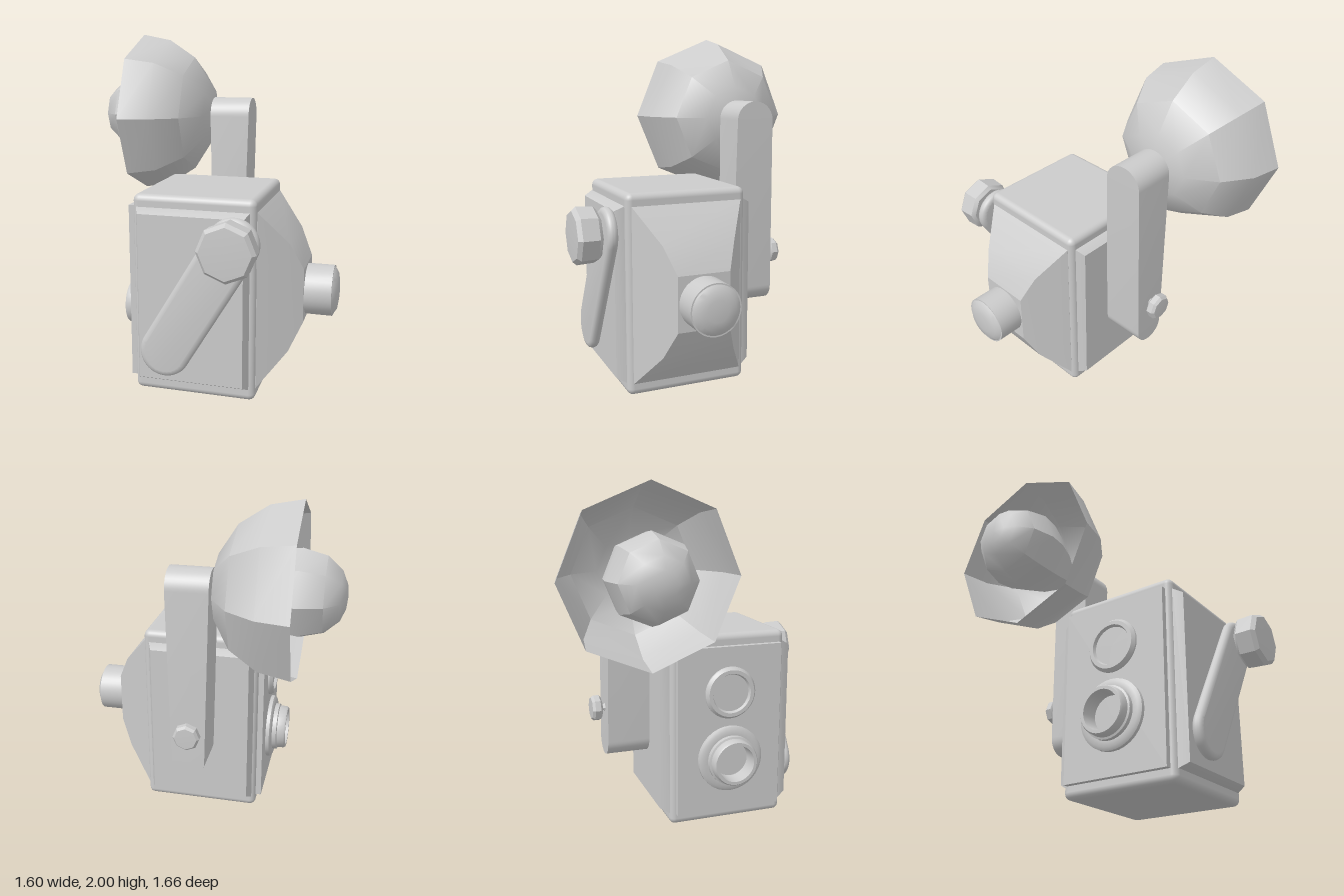
import * as THREE from 'three';
import { toCreasedNormals } from 'three/addons/utils/BufferGeometryUtils.js';
import { RoundedBoxGeometry } from 'three/addons/geometries/RoundedBoxGeometry.js';

const material = new THREE.MeshStandardMaterial({ color: 0xcccccc });
const thinMaterial = new THREE.MeshStandardMaterial({ color: 0xcccccc, side: THREE.DoubleSide });

// Rectangular sections [y, halfX, halfZ] stacked upwards and capped
function loft(sections, crease = 0.5) {
  const pos = [], idx = [];
  for (const [y, hx, hz] of sections) {
    pos.push(-hx, y, hz, hx, y, hz, hx, y, -hz, -hx, y, -hz);
  }
  for (let s = 0; s < sections.length - 1; s++) {
    for (let k = 0; k < 4; k++) {
      const a = s * 4 + k, b = s * 4 + (k + 1) % 4;
      idx.push(a, b, b + 4, a, b + 4, a + 4);
    }
  }
  const t = (sections.length - 1) * 4;
  idx.push(0, 2, 1, 0, 3, 2, t, t + 1, t + 2, t, t + 2, t + 3);
  const g = new THREE.BufferGeometry();
  g.setAttribute('position', new THREE.Float32BufferAttribute(pos, 3));
  g.setIndex(idx);
  return toCreasedNormals(g, crease);
}

// Turned part from [radius, y] pairs listed upwards
function turned(profile, sides, crease = 0.6) {
  const g = new THREE.LatheGeometry(profile.map(([r, y]) => new THREE.Vector2(r, y)), sides);
  return toCreasedNormals(g, crease);
}

// Rotations that point a part's y axis along a world axis
const aim = {
  front: [Math.PI / 2, 0, 0],
  back: [-Math.PI / 2, 0, 0],
  left: [0, 0, -Math.PI / 2],
  right: [0, 0, Math.PI / 2],
  up: [0, 0, 0],
};

export function createModel() {
  const model = new THREE.Group();
  const add = (name, geometry, position, direction = 'up', mat = material) => {
    const mesh = new THREE.Mesh(geometry, mat);
    mesh.name = name;
    mesh.position.set(...position);
    mesh.rotation.set(...aim[direction]);
    model.add(mesh);
    return mesh;
  };

  // Body with raised panels on three sides
  add('body', new RoundedBoxGeometry(0.697, 1.14, 0.71, 3, 0.037), [0.038, 0.57, 0.2]);
  const sidePanel = loft([[-0.02, 0.32, 0.5], [0, 0.32, 0.5], [0.052, 0.296, 0.472]]);
  add('frontPanel', sidePanel, [0.033, 0.57, 0.555], 'front');
  add('backPanel', sidePanel, [0.033, 0.57, -0.155], 'back');
  add('lensPanel', loft([[-0.02, 0.5, 0.322], [0.033, 0.5, 0.322]]), [-0.31, 0.57, 0.2], 'right');

  // Tapered viewing hood and eyepiece
  add('viewingHood', loft([
    [-0.02, 0.5, 0.325], [0, 0.5, 0.325], [0.158, 0.31, 0.21], [0.23, 0.155, 0.152],
  ], 0.4), [0.386, 0.57, 0.2], 'left');
  add('eyepiece', turned([
    [0.145, -0.03], [0.145, 0.153], [0.137, 0.153], [0.13, 0.158], [0.105, 0.174], [0.06, 0.181], [0, 0.183],
  ], 32), [0.614, 0.57, 0.2], 'left');

  // Upper finder ring and hollow lower lens
  add('finderLens', turned([
    [0.155, -0.01], [0.155, 0.01], [0.14, 0.03], [0.118, 0.03], [0.11, 0.012], [0, 0.012],
  ], 32), [-0.343, 0.797, 0.2], 'right');
  add('mainLens', turned([
    [0.198, -0.01], [0.198, 0.022], [0.18, 0.034], [0.148, 0.034], [0.148, 0.06], [0.137, 0.064],
    [0.135, 0.105], [0.128, 0.115], [0.11, 0.115], [0.104, 0.02], [0, 0.02],
  ], 32), [-0.343, 0.397, 0.2], 'right');

  // Crank arm on the front panel
  const slope = Math.atan2(0.64, 0.39), inset = 0.03, r = 0.142 - inset;
  const arm = new THREE.Shape();
  arm.absarc(0.285, 0.92, r, slope - Math.PI / 2, slope + Math.PI / 2);
  arm.absarc(-0.1, 0.282, r, slope + Math.PI / 2, slope + Math.PI * 1.5);
  const armGeometry = new THREE.ExtrudeGeometry(arm, {
    depth: 0.004, bevelThickness: 0.028, bevelSize: inset, bevelSegments: 3, curveSegments: 16,
  });
  add('crankArm', toCreasedNormals(armGeometry, 0.6), [0, 0, 0.633]);

  // Eight-sided crank knob on a pointed neck
  add('crankKnob', turned([
    [0.01, -0.01], [0.015, 0], [0.04, 0.025], [0.135, 0.025], [0.155, 0.045], [0.16, 0.14], [0.14, 0.163], [0, 0.17],
  ], 8), [0.285, 0.915, 0.665], 'front');

  // Flash bracket: the top rounds in depth, the bottom rounds in width
  const sections = [], steps = 10;
  for (let i = 0; i <= steps; i++) {
    const a = (i / steps) * Math.PI / 2;
    sections.push([0.467 - 0.097 * Math.cos(a), 0.002 + 0.095 * Math.sin(a), 0.132]);
  }
  for (let i = 0; i <= steps; i++) {
    const a = (i / steps) * Math.PI / 2;
    sections.push([1.5 + 0.11 * Math.sin(a), 0.122, 0.002 + 0.114 * Math.cos(a)]);
  }
  add('flashBracket', loft(sections, 0.4), [0.042, 0, -0.332]);
  add('bracketKnob', turned([
    [0.03, -0.01], [0.015, 0.012], [0.03, 0.02], [0.06, 0.022], [0.078, 0.035], [0.078, 0.068], [0.065, 0.083], [0, 0.085],
  ], 8), [0.035, 0.665, -0.462], 'back');

  // Eight-sided reflector bowl, open to the right, with its bulb
  add('reflector', turned([
    [0, 0], [0.06, 0.004], [0.19, 0.03], [0.355, 0.135], [0.462, 0.297], [0.497, 0.475],
  ], 8, 0.65), [-0.08, 1.503, -0.333], 'right', thinMaterial);
  add('bulb', turned([
    [0.06, 0.01], [0.12, 0.13], [0.19, 0.25], [0.235, 0.37], [0.247, 0.475], [0.213, 0.605], [0.14, 0.685], [0.07, 0.713], [0, 0.72],
  ], 8, 0.65), [-0.08, 1.503, -0.333], 'right');

  return model;
}
